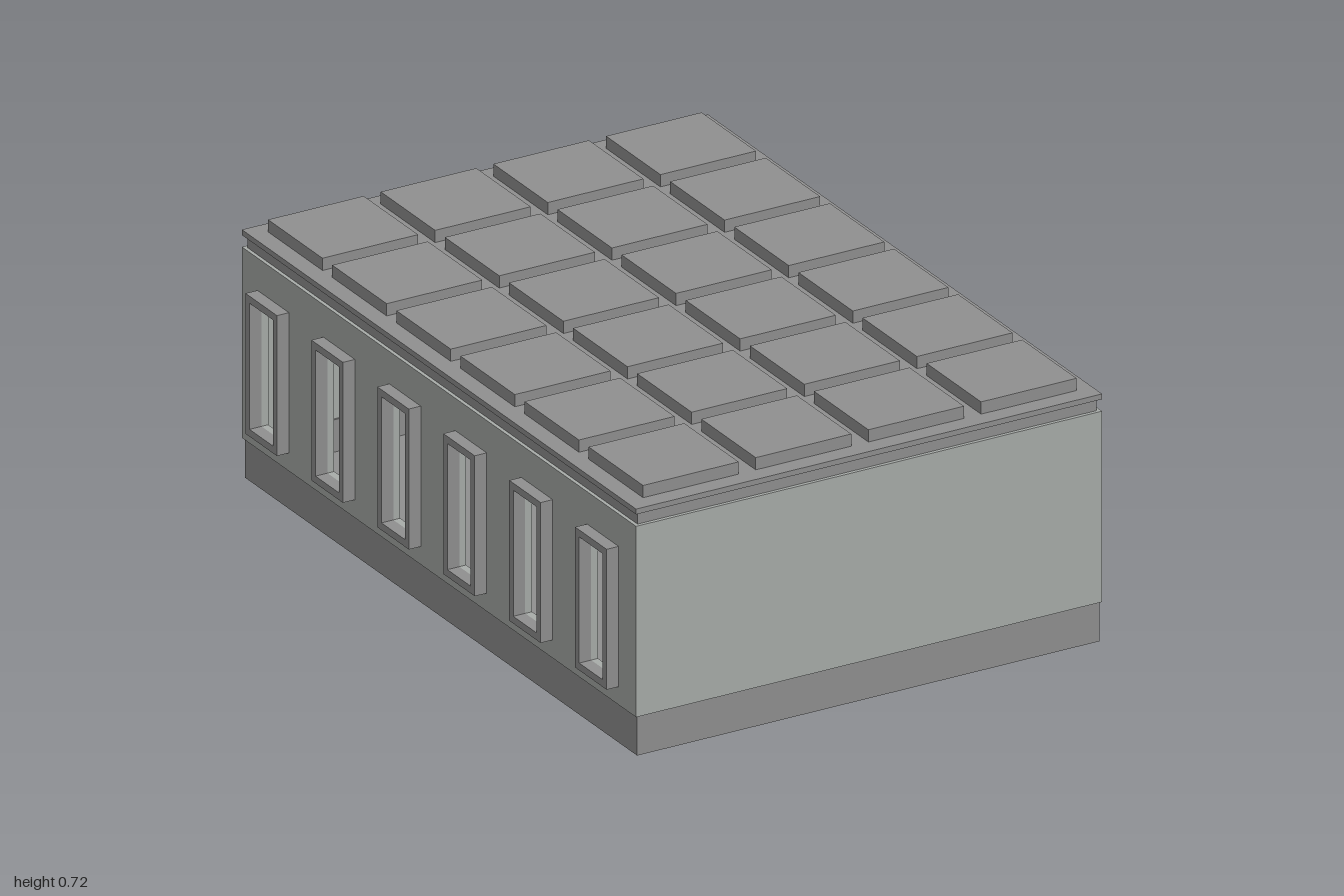
import * as THREE from 'three';

const mat = (color) => new THREE.MeshStandardMaterial({ color });
const T = 0.02; // wall and frame thickness

export function createModel() {
  const group = new THREE.Group();
  const stone = mat(0x909090), plaster = mat(0xa8aca9), screen = mat(0xd0cec8);

  const add = (name, geometry, material, parent = group) => {
    const mesh = new THREE.Mesh(geometry, material);
    mesh.name = name;
    parent.add(mesh);
    return mesh;
  };
  // Box given by its lower and upper limits on each axis
  const box = (name, material, [x0, x1], [y0, y1], [z0, z1], parent) =>
    add(name, new THREE.BoxGeometry(x1 - x0, y1 - y0, z1 - z0)
      .translate((x0 + x1) / 2, (y0 + y1) / 2, (z0 + z1) / 2), material, parent);
  const outline = (u0, u1, v0, v1) => [[u0, v0], [u1, v0], [u1, v1], [u0, v1]]
    .map(([u, v]) => new THREE.Vector2(u, v));
  // Flat slab of thickness T with optional holes
  const slab = (points, holes = []) => {
    const shape = new THREE.Shape(points);
    holes.forEach((h) => shape.holes.push(new THREE.Path(h)));
    return new THREE.ExtrudeGeometry(shape, { depth: T, bevelEnabled: false });
  };
  // Rectangular frame extruded along z
  const frame = (u0, u1, v0, v1, depth) => {
    const shape = new THREE.Shape(outline(u0, u1, v0, v1));
    shape.holes.push(new THREE.Path(outline(u0 + T, u1 - T, v0 + T, v1 - T)));
    return new THREE.ExtrudeGeometry(shape, { depth, bevelEnabled: false });
  };

  const door = { x0: -0.105, x1: 0.13, top: 0.313 };
  const windows = Array.from({ length: 6 }, (_, i) => -0.8 + i * 0.327);
  const half = 0.078, sill = 0.16, head = 0.55;

  // Hollow base with a floor and a gap for the doorway
  box('floor', stone, [-0.664, 0.69], [0, T], [-0.95, 0.995]);
  box('baseFront', stone, [-0.664, 0.69], [T, 0.11], [0.995 - T, 0.995]);
  box('baseLeft', stone, [0.69 - T, 0.69], [T, 0.11], [-0.95 + T, 0.995 - T]);
  box('baseRight', stone, [-0.664, -0.664 + T], [T, 0.11], [-0.95 + T, 0.995 - T]);
  box('baseBack', stone, [-0.664, door.x0 + T], [T, 0.11], [-0.95, -0.95 + T]);
  box('baseBack', stone, [door.x1 - T, 0.69], [T, 0.11], [-0.95, -0.95 + T]);

  // Walls
  box('frontWall', plaster, [-0.67, 0.695], [0.11, 0.64], [1 - T, 1]);
  box('leftWall', plaster, [0.695 - T, 0.695], [0.11, 0.64], [-0.955 + T, 1 - T]);
  const backPoints = [[-0.67, 0.11], [door.x0 + T, 0.11], [door.x0 + T, door.top - T],
    [door.x1 - T, door.top - T], [door.x1 - T, 0.11], [0.695, 0.11], [0.695, 0.64], [-0.67, 0.64]]
    .map(([x, y]) => new THREE.Vector2(x, y));
  add('backWall', slab(backPoints), plaster).position.z = -0.955;

  const rightWall = add('rightWall', slab(outline(-0.955 + T, 1 - T, 0.11, 0.64),
    windows.map((z) => outline(z - half + T, z + half - T, sill + T, head - T))), plaster);
  rightWall.rotation.y = -Math.PI / 2;
  rightWall.position.x = -0.67 + T;

  // Projecting window and door frames
  windows.forEach((z) => {
    const f = add('windowFrame', frame(z - half, z + half, sill, head, 0.035), stone);
    f.rotation.y = -Math.PI / 2;
    f.position.x = -0.67;
  });
  add('doorFrame', frame(door.x0, door.x1, 0, door.top, 0.05), stone).position.z = -1;

  // Thin pale panel on the left wall
  box('sidePanel', screen, [0.695, 0.7], [0.14, 0.47], [-0.27, 0.317]);

  // Roof: recessed trim, slab and raised tiles
  box('roofTrim', stone, [-0.66, 0.685], [0.64, 0.673], [-0.945, 0.99]);
  box('roofSlab', stone, [-0.67, 0.695], [0.673, 0.688], [-0.955, 1]);
  const tiles = new THREE.Group();
  tiles.name = 'roofTiles';
  group.add(tiles);
  for (let i = 0; i < 4; i++) {
    for (let j = 0; j < 6; j++) {
      const x = -0.62 + i * 0.33, z = -0.91 + j * 0.318;
      box('roofTile', stone, [x, x + 0.28], [0.688, 0.722], [z, z + 0.27], tiles);
    }
  }
  return group;
}
